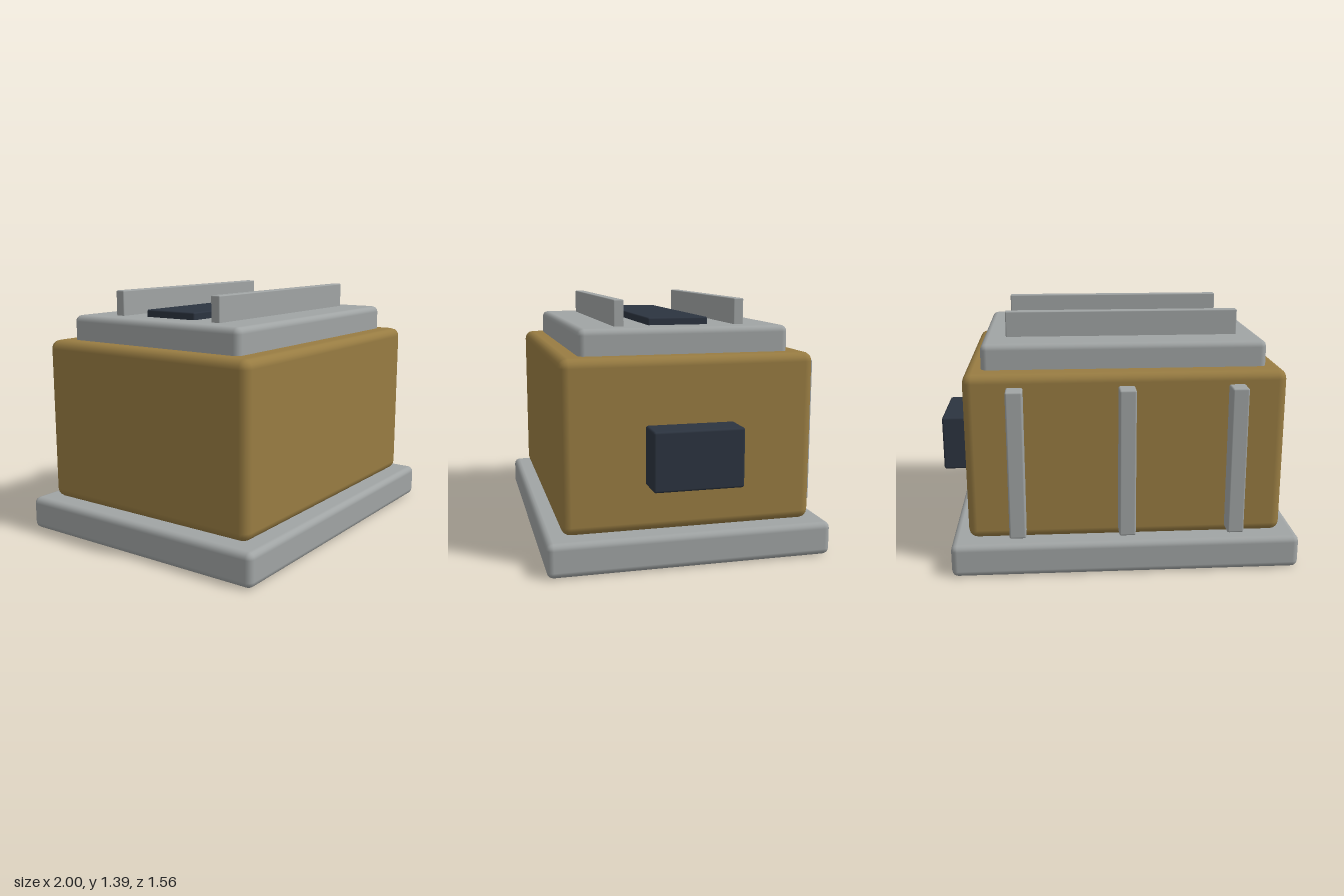
import * as THREE from 'three';
import { RoundedBoxGeometry } from 'three/addons/geometries/RoundedBoxGeometry.js';

export function createModel() {
  const group = new THREE.Group();
  const material = (name, color) => {
    const m = new THREE.MeshStandardMaterial({ color });
    m.name = name;
    return m;
  };
  const ochre = material('ochre', 0x987c42);
  const grey = material('grey', 0xa0a4a4);
  const navy = material('navy', 0x2c3440);

  // Softly bevelled block given by its extents on each axis
  const block = (name, mat, [x0, x1], [y0, y1], [z0, z1], bevel) => {
    const geometry = new RoundedBoxGeometry(x1 - x0, y1 - y0, z1 - z0, 2, bevel);
    const mesh = new THREE.Mesh(geometry, mat);
    mesh.name = name;
    mesh.position.set((x0 + x1) / 2, (y0 + y1) / 2, (z0 + z1) / 2);
    group.add(mesh);
  };

  // Stacked base, body and lid
  block('base', grey, [-1, 0.92], [0, 0.185], [-0.772, 0.78], 0.035);
  block('body', ochre, [-0.908, 0.828], [0.185, 1.11], [-0.682, 0.69], 0.05);
  block('lid', grey, [-0.815, 0.735], [1.07, 1.25], [-0.567, 0.577], 0.035);

  // Top panel between two long rails
  block('topPanel', navy, [-0.65, 0.572], [1.23, 1.29], [-0.161, 0.171], 0.008);
  for (const side of [-1, 1]) {
    const z = 0.005 + side * 0.333;
    block('topRail', grey, [-0.686, 0.606], [1.23, 1.39], [z - 0.028, z + 0.028], 0.006);
  }

  // Side box
  block('sideBox', navy, [0.78, 1], [0.44, 0.755], [-0.236, 0.246], 0.012);

  // Three upright ribs on the back
  for (const x of [-0.634, -0.04, 0.554]) {
    block('backRib', grey, [x - 0.045, x + 0.045], [0.225, 1.04], [-0.78, -0.65], 0.01);
  }
  return group;
}
